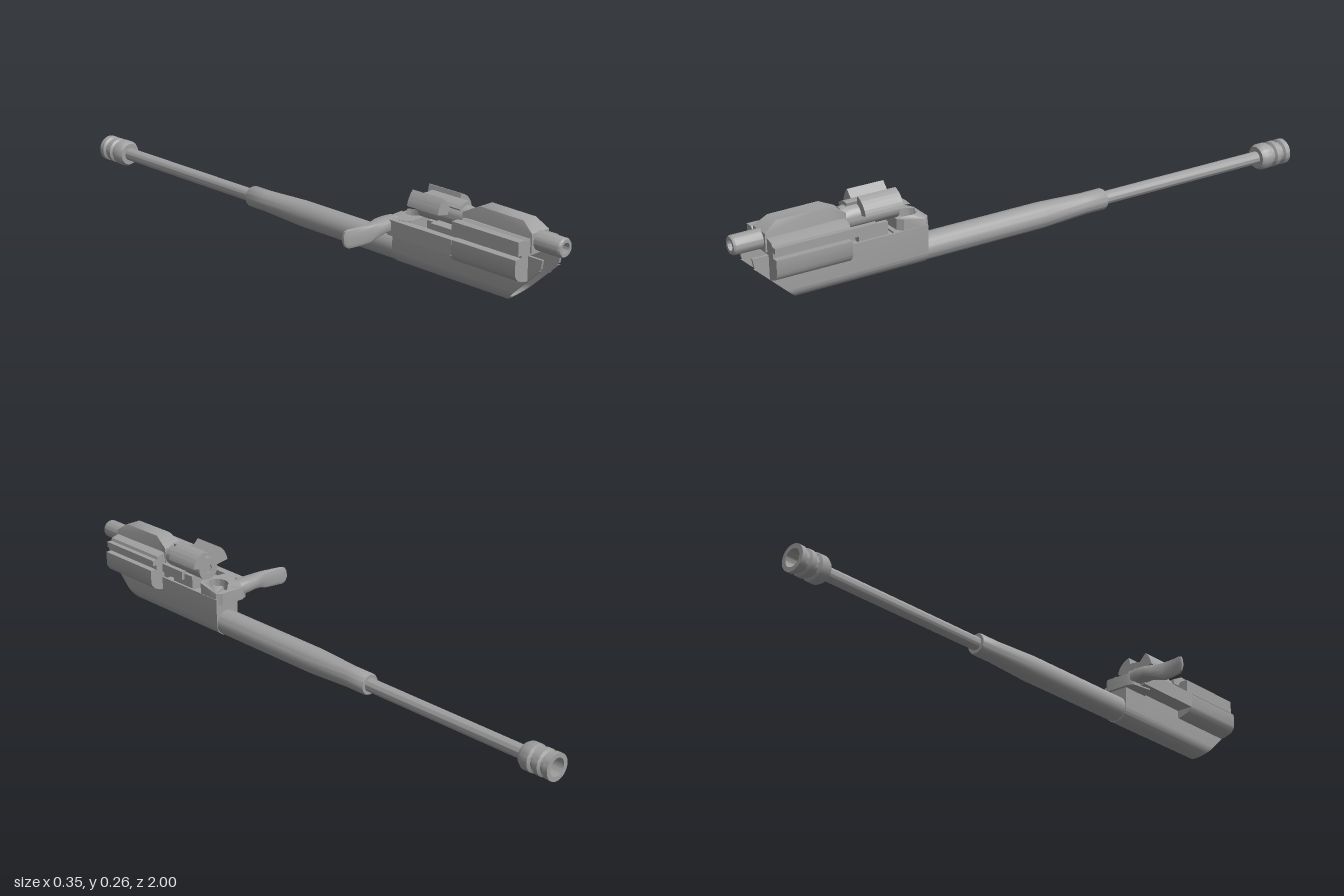
import * as THREE from 'three';
import { toCreasedNormals } from 'three/addons/utils/BufferGeometryUtils.js';

const CX = 0.086, BARREL_Y = 0.045, BOLT_Y = 0.2;

export function createModel() {
  const root = new THREE.Group();
  const steel = new THREE.MeshStandardMaterial({ color: 0xa0a0a0 });
  steel.name = 'steel grey';

  const add = (name, geo) => {
    const mesh = new THREE.Mesh(toCreasedNormals(geo, 0.6), steel);
    mesh.name = name;
    root.add(mesh);
    return mesh;
  };
  // Box given by its limits
  const box = (name, x0, x1, y0, y1, z0, z1) =>
    add(name, new THREE.BoxGeometry(x1 - x0, y1 - y0, z1 - z0)
      .translate((x0 + x1) / 2, (y0 + y1) / 2, (z0 + z1) / 2));
  // Turned part along z, points are [radius, z] with z rising on the outside
  const turned = (name, pts, y) =>
    add(name, new THREE.LatheGeometry(pts.map(([r, z]) => new THREE.Vector2(r, z)), 32)
      .rotateX(Math.PI / 2).translate(CX, y, 0));
  const outline = pts => new THREE.Shape(pts.map(([a, b]) => new THREE.Vector2(a, b)));
  // Front outline extruded between two z positions
  const alongZ = (shape, z0, z1) =>
    new THREE.ExtrudeGeometry(shape, { depth: z1 - z0, bevelEnabled: false, curveSegments: 20 })
      .translate(0, 0, z0);
  // Side outline [z, y] extruded between two x positions
  const alongX = (pts, x0, x1) =>
    new THREE.ExtrudeGeometry(outline(pts), { depth: x1 - x0, bevelEnabled: false })
      .rotateY(-Math.PI / 2).translate(x1, 0, 0);

  // Barrel, thick sleeve and closed breech end
  turned('barrel', [[0.021, -0.9], [0.021, -0.26]], BARREL_Y);
  turned('barrelSleeve', [[0, -0.268], [0.031, -0.268], [0.034, -0.262], [0.034, -0.19],
    [0.041, -0.03], [0.041, 0.4]], BARREL_Y);
  turned('breechPlug', [[0.035, 0.39], [0.035, 0.66], [0, 0.66]], BARREL_Y);

  // Grooved muzzle with an open bore
  turned('muzzle', [[0, -0.93], [0.028, -0.93], [0.028, -1], [0.042, -1], [0.042, -0.983],
    [0.034, -0.978], [0.034, -0.968], [0.042, -0.963], [0.042, -0.947], [0.034, -0.942],
    [0.034, -0.932], [0.043, -0.927], [0.043, -0.9], [0.036, -0.888], [0, -0.888]], BARREL_Y);

  // U-shaped receiver trough, its front end cut at a slant
  const u = new THREE.Shape();
  u.moveTo(CX - 0.043, 0.13);
  u.lineTo(CX - 0.043, 0.045);
  u.absarc(CX, 0.045, 0.043, Math.PI, Math.PI * 2, false);
  u.lineTo(CX + 0.043, 0.13);
  u.lineTo(CX + 0.035, 0.13);
  u.lineTo(CX + 0.035, 0.045);
  u.absarc(CX, 0.045, 0.035, 0, -Math.PI, true);
  u.lineTo(CX - 0.035, 0.13);
  const trough = alongZ(u, 0.39, 1);
  const p = trough.attributes.position;
  for (let i = 0; i < p.count; i++) {
    if (p.getZ(i) > 0.9) p.setZ(i, Math.min(0.95, 0.81 + p.getY(i) * 1.08));
  }
  trough.computeVertexNormals();
  add('receiverTrough', trough);
  box('receiverRearFill', CX - 0.042, CX + 0.042, 0.05, 0.13, 0.391, 0.5);
  box('troughFloor', CX - 0.035, CX + 0.035, 0.08, 0.125, 0.48, 0.66);
  box('troughRib', CX - 0.012, CX + 0.012, 0.08, 0.163, 0.6, 0.8);

  // Wide side blocks with chamfered lower edges, and front wall tips
  for (const s of [-1, 1]) {
    const side = s < 0 ? 'right' : 'left';
    const w = s < 0 ? 0.097 : 0.089;
    const pts = [[0.035, 0.088], [0.055, 0.09], [w - 0.014, 0.099], [w - 0.003, 0.112],
      [w, 0.12], [w, 0.163], [0.035, 0.163]].map(([x, y]) => [CX + s * x, y]);
    add(side + 'SideBlock', alongZ(outline(pts), 0.665, 0.905));
    const inner = CX + s * 0.035, outer = CX + s * 0.043;
    add(side + 'FrontCheek', alongX([[0.9, 0.1], [0.915, 0.1], [0.95, 0.135], [0.955, 0.163],
      [0.9, 0.163]], Math.min(inner, outer), Math.max(inner, outer)));
  }

  // Rear hump with an oval opening
  const hump = outline([[0.01, 0.39], [0.03, 0.38], [0.11, 0.38], [0.127, 0.395],
    [0.127, 0.47], [0.11, 0.485], [0.02, 0.485], [0, 0.46]]);
  const hole = new THREE.Path();
  hole.absellipse(0.082, 0.435, 0.027, 0.036, 0, Math.PI * 2, true);
  hump.holes.push(hole);
  const humpGeo = new THREE.ExtrudeGeometry(hump, { depth: 0.055, bevelEnabled: false, curveSegments: 16 })
    .rotateX(Math.PI / 2).translate(0, 0.165, 0);
  const hp = humpGeo.attributes.position;
  for (let i = 0; i < hp.count; i++) {
    if (hp.getY(i) > 0.16 && hp.getZ(i) < 0.4) hp.setY(i, 0.15);
  }
  humpGeo.computeVertexNormals();
  add('rearHump', humpGeo);

  // Operating arm along the right side, then its curved handle
  box('operatingArm', -0.012, 0.012, 0.115, 0.163, 0.42, 0.67);
  box('armLedge', 0.012, CX - 0.035, 0.115, 0.145, 0.48, 0.67);
  const stations = [ // x, low y, high y, rear z, front z
    [0.03, 0.118, 0.163, 0.385, 0.435], [0, 0.12, 0.164, 0.382, 0.436],
    [-0.03, 0.124, 0.163, 0.383, 0.438], [-0.06, 0.118, 0.163, 0.394, 0.437],
    [-0.09, 0.107, 0.163, 0.406, 0.432], [-0.13, 0.105, 0.163, 0.406, 0.422],
    [-0.16, 0.105, 0.163, 0.402, 0.415], [-0.17, 0.111, 0.159, 0.4, 0.411],
    [-0.175, 0.122, 0.148, 0.4, 0.408], [-0.175, 0.135, 0.135, 0.404, 0.404]];
  const N = 16, verts = [], index = [];
  const round = v => Math.sign(v) * Math.sqrt(Math.abs(v));
  stations.forEach(([x, y0, y1, z0, z1], k) => {
    for (let j = 0; j < N; j++) {
      const a = (j / N) * Math.PI * 2;
      verts.push(x, (y0 + y1) / 2 + round(Math.sin(a)) * (y1 - y0) / 2,
        (z0 + z1) / 2 + round(Math.cos(a)) * (z1 - z0) / 2);
      if (k) {
        const a0 = (k - 1) * N + j, a1 = (k - 1) * N + (j + 1) % N;
        index.push(a0, a0 + N, a1, a1, a0 + N, a1 + N);
      }
    }
  });
  const handle = new THREE.BufferGeometry();
  handle.setAttribute('position', new THREE.Float32BufferAttribute(verts, 3));
  // Turn the faces so they look outward
  for (let i = 0; i < index.length; i += 3) [index[i + 1], index[i + 2]] = [index[i + 2], index[i + 1]];
  handle.setIndex(index);
  handle.computeVertexNormals();
  add('handle', handle);

  // Carriage with stepped rails
  add('carriage', alongZ(outline([[0.015, 0.163], [0.155, 0.163], [0.155, 0.179], [0.17, 0.179],
    [0.17, 0.197], [0.153, 0.197], [0.15, 0.206], [0.125, 0.212], [0.047, 0.212], [0.036, 0.203],
    [0.026, 0.213], [0, 0.213], [0, 0.172], [0.015, 0.172]]), 0.66, 0.905));
  // Hood over the carriage, narrowed toward its top
  const hood = alongX([[0.655, 0.17], [0.91, 0.17], [0.91, 0.226], [0.87, 0.254], [0.71, 0.256],
    [0.655, 0.228]], CX - 0.036, CX + 0.036);
  const hd = hood.attributes.position;
  for (let i = 0; i < hd.count; i++) {
    if (hd.getY(i) > 0.24) hd.setX(i, CX + (hd.getX(i) - CX) * 0.72);
  }
  hood.computeVertexNormals();
  add('hood', hood);

  // Hollow tail tube
  turned('tailTube', [[0.029, 0.89], [0.029, 0.994], [0.025, 1], [0.016, 1], [0.016, 0.975],
    [0, 0.975]], BOLT_Y);

  // Rotating bolt head with two unequal lobes
  turned('boltHead', [[0, 0.485], [0.014, 0.485], [0.014, 0.48], [0.037, 0.48], [0.037, 0.635],
    [0.033, 0.66], [0, 0.66]], BOLT_Y);
  const lobe = (name, r, from, to, z0, z1) => {
    const s = new THREE.Shape();
    s.absarc(CX, BOLT_Y, r, from, to, false);
    s.absarc(CX, BOLT_Y, 0.03, to, from, true);
    add(name, alongZ(s, z0, z1));
  };
  lobe('rightLobe', 0.08, 2.34, 2.98, 0.48, 0.6);
  lobe('leftLobe', 0.061, 0.2, 1.35, 0.48, 0.605);
  lobe('upperBridge', 0.047, 1.3, 2.4, 0.5, 0.64);
  box('boltFoot', CX - 0.035, CX + 0.035, 0.125, 0.17, 0.52, 0.615);
  box('boltLug', 0.02, CX + 0.045, 0.15, 0.178, 0.56, 0.66);

  return root;
}
